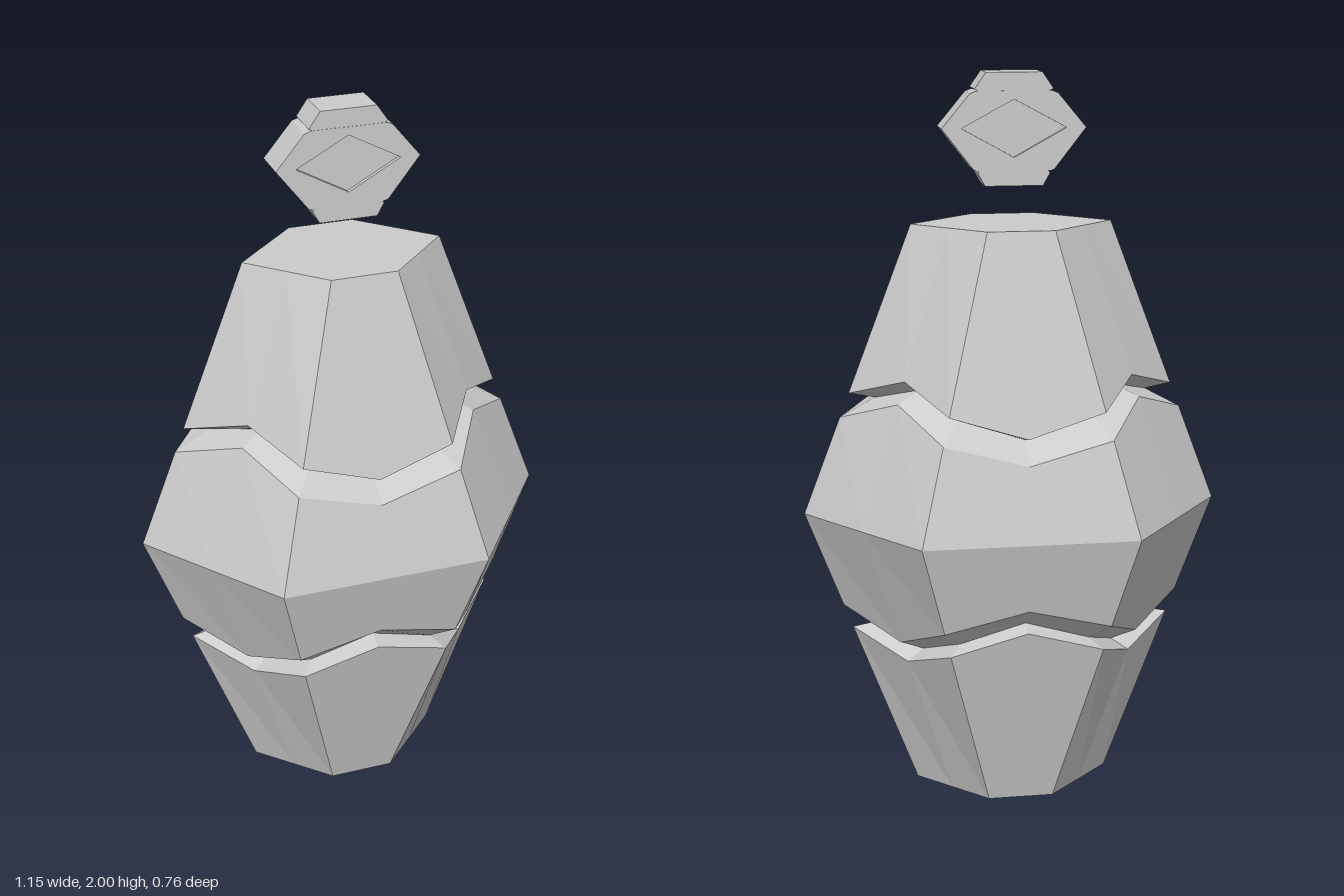
import * as THREE from 'three';

const MID = 0.805, TOP = 1.6;
const material = new THREE.MeshStandardMaterial({ color: 0xcccccc, flatShading: true, side: THREE.DoubleSide });

// Ring of 12 points (6 corners and 6 edge middles) on the faceted hexagonal body.
// Heights are given for: side corner, slanted-face middle, front corner, front middle.
function ring([a, s, b, f], scale = 1) {
  const heights = [a, s, b, f, b, s];
  const corners = [[1, 0], [1, 1], [-1, 1], [-1, 0], [-1, -1], [1, -1]];
  const corner = (k, y) => {
    const t = y > MID ? (y - MID) / (TOP - MID) : (MID - y) / MID;
    const [sx, sz] = corners[k % 6];
    return sz === 0
      ? new THREE.Vector3(sx * (0.577 - 0.304 * t), y, 0)
      : new THREE.Vector3(sx * (0.29 - 0.2 * t), y, sz * (0.38 - 0.2 * t));
  };
  const points = [];
  for (let i = 0; i < 12; i++) {
    const y = heights[i % 6], k = Math.floor(i / 2);
    const p = corner(k, y);
    if (i % 2) p.lerp(corner(k + 1, y), 0.5);
    points.push(new THREE.Vector3(p.x * scale, y, p.z * scale));
  }
  return points;
}
const flat = (y) => ring([y, y, y, y]);

// Skin a stack of rings from bottom to top, with optional flat caps.
function loft(name, rings, capBottom, capTop) {
  const tris = [];
  for (let r = 0; r + 1 < rings.length; r++) {
    const lo = rings[r], hi = rings[r + 1];
    for (let i = 0; i < 12; i++) {
      const j = (i + 1) % 12;
      tris.push(lo[i], hi[i], hi[j], lo[i], hi[j], lo[j]);
    }
  }
  const first = rings[0], last = rings[rings.length - 1];
  for (let i = 0; i < 12; i++) {
    const j = (i + 1) % 12;
    if (capTop) tris.push(new THREE.Vector3(0, last[0].y, 0), last[j], last[i]);
    if (capBottom) tris.push(new THREE.Vector3(0, first[0].y, 0), first[i], first[j]);
  }
  const geometry = new THREE.BufferGeometry().setFromPoints(tris);
  geometry.computeVertexNormals();
  const mesh = new THREE.Mesh(geometry, material);
  mesh.name = name;
  return mesh;
}

// Slab cut from an outline in the xy plane, centred on z = 0.
function slab(name, outline, depth, hole) {
  const toVec = ([x, y]) => new THREE.Vector2(x, y);
  const shape = new THREE.Shape(outline.map(toVec));
  if (hole) shape.holes.push(new THREE.Path(hole.map(toVec)));
  const geometry = new THREE.ExtrudeGeometry(shape, { depth, bevelEnabled: false });
  geometry.translate(0, 0, -depth / 2);
  const mesh = new THREE.Mesh(geometry, material);
  mesh.name = name;
  return mesh;
}
// Mirror the right half of an outline (listed bottom to top) across x = 0.
const mirrored = (half) => [...half, ...half.filter(([x]) => x > 0).reverse().map(([x, y]) => [-x, y])];

export function createModel() {
  const model = new THREE.Group();

  // Zigzag cracks: upper lip, groove bottom and lower lip
  const upperLip = [1.142, 1.2, 1.135, 1.073];
  const groove = [1.128, 1.172, 1.115, 1.06];
  const lowerLip = [1.075, 1.14, 1.063, 1.005];
  const flip = (heights) => heights.map((y) => 2 * MID - y);
  const inset = 0.83;

  // Three shells of the body
  model.add(loft('lowerShell', [flat(0), ring(flip(upperLip)), ring(flip(groove), inset)], true, false));
  model.add(loft('middleShell', [
    ring(flip(groove), inset), ring(flip(lowerLip)), flat(MID), ring(lowerLip), ring(groove, inset),
  ], false, false));
  model.add(loft('upperShell', [ring(groove, inset), ring(upperLip), flat(TOP)], false, true));

  // Floating ornament with a sunken diamond on both faces
  const ornament = new THREE.Group();
  ornament.name = 'floatingOrnament';
  const diamond = [[0.14, 1.855], [0, 1.93], [-0.14, 1.855], [0, 1.778]];
  ornament.add(slab('ornamentFrame', mirrored([
    [0.098, 1.742], [0.108, 1.746], [0.193, 1.855], [0.117, 1.946], [0.1, 1.952],
  ]), 0.106, diamond));
  ornament.add(slab('diamondPanel', diamond, 0.084));
  ornament.add(slab('ornamentTopCap', mirrored([[0.09, 1.949], [0.105, 1.957], [0.075, 2.0]]), 0.104));
  ornament.add(slab('ornamentBottomCap', mirrored([[0.078, 1.703], [0.097, 1.737], [0.09, 1.744]]), 0.104));
  model.add(ornament);

  return model;
}
